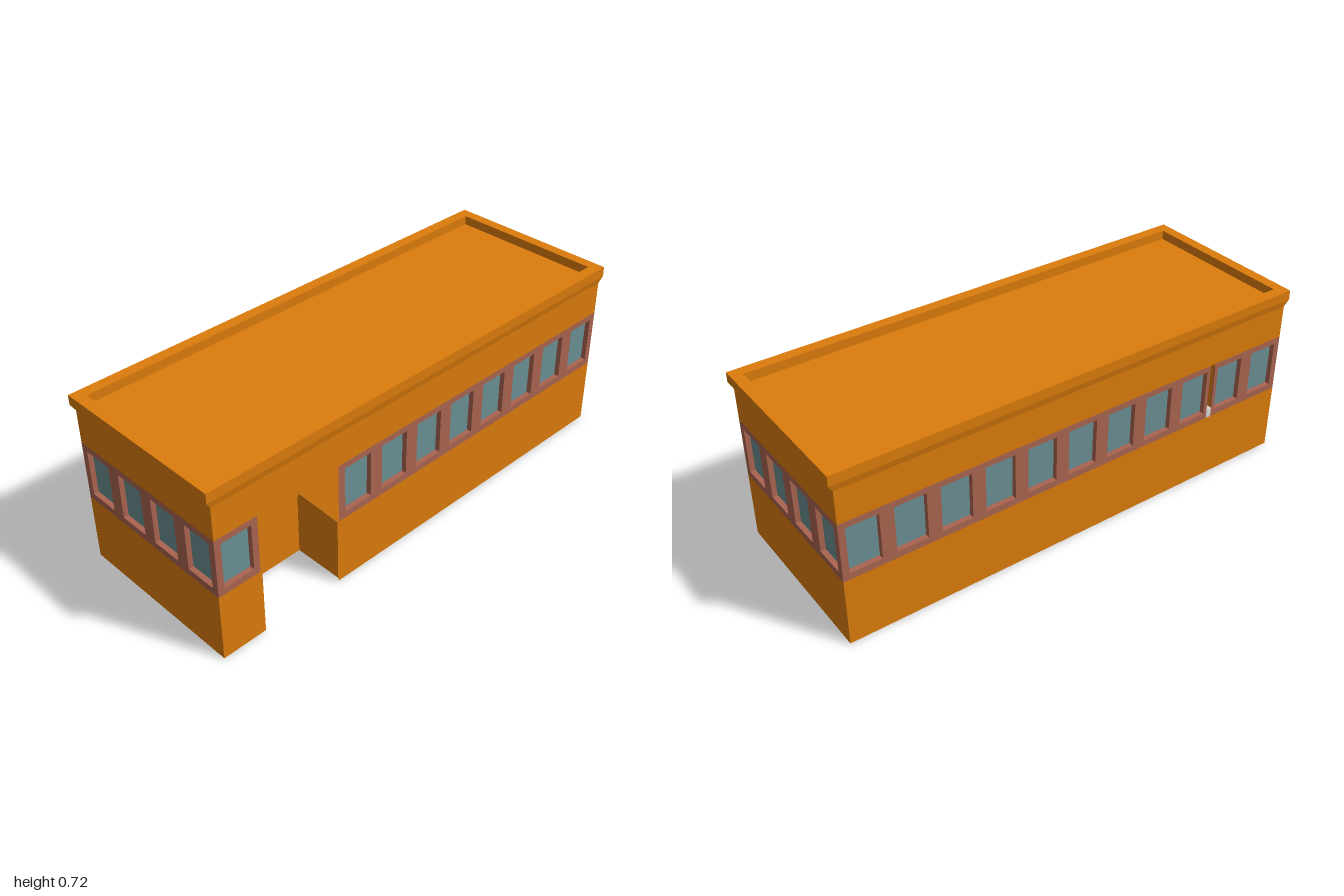
import * as THREE from 'three';

const paint = (color) => new THREE.MeshStandardMaterial({ color, side: THREE.DoubleSide });
const HX = 0.358, HZ = 0.983;            // half width and half length of the walls
const BAND0 = 0.275, BAND1 = 0.515;      // window band
const WIN0 = 0.302, WIN1 = 0.49, WIN_W = 0.124, PITCH = 0.179, REVEAL = 0.02;
const EAVE = 0.65, ROOF = 0.68, TOP = 0.717;

// Corners of a rectangle, counter-clockwise
const rect = (x0, x1, y0, y1) => [[x0, y0], [x1, y0], [x1, y1], [x0, y1]];
const toShape = (pts) => new THREE.Shape(pts.map(([x, y]) => new THREE.Vector2(x, y)));

// Flat quads between successive loops of [x, y, z] points
function loft(loops, closed = true) {
  const pos = [];
  for (let i = 0; i + 1 < loops.length; i++) {
    const a = loops[i], b = loops[i + 1], n = a.length;
    for (let j = 0; j < (closed ? n : n - 1); j++) {
      const k = (j + 1) % n;
      pos.push(...a[j], ...a[k], ...b[k], ...a[j], ...b[k], ...b[j]);
    }
  }
  const geo = new THREE.BufferGeometry();
  geo.setAttribute('position', new THREE.Float32BufferAttribute(pos, 3));
  geo.computeVertexNormals();
  return geo;
}

export function createModel() {
  const wallMat = paint(0xdc7c0c), bandMat = paint(0xaa6450), glassMat = paint(0x6b9094);
  const model = new THREE.Group();
  model.name = 'building';

  function add(parent, name, geo, mat, z = 0) {
    const mesh = new THREE.Mesh(geo, mat);
    mesh.name = name;
    mesh.position.z = z;
    parent.add(mesh);
    return mesh;
  }

  // One strip of band with recessed windows centred on the given positions
  function windowBand(parent, u0, u1, centres) {
    const shape = toShape(rect(u0, u1, BAND0, BAND1));
    for (const c of centres) {
      const r = rect(c - WIN_W / 2, c + WIN_W / 2, WIN0, WIN1);
      shape.holes.push(new THREE.Path(r.map(([x, y]) => new THREE.Vector2(x, y))));
      const at = (z) => r.map(([x, y]) => [x, y, z]).reverse();
      add(parent, 'windowReveal', loft([at(-REVEAL), at(0)]), bandMat);
      add(parent, 'windowGlass', new THREE.ShapeGeometry(toShape(r)), glassMat, -REVEAL);
    }
    add(parent, 'windowBand', new THREE.ShapeGeometry(shape), bandMat);
  }

  // A wall group whose local z points outwards
  function wall(name, angle, distance) {
    const g = new THREE.Group();
    g.name = name;
    g.rotation.y = angle;
    g.position.set(Math.sin(angle) * distance, 0, Math.cos(angle) * distance);
    model.add(g);
    return g;
  }
  const panel = (g, name, pts) => add(g, name, new THREE.ShapeGeometry(toShape(pts)), wallMat);
  const centres = (n) => Array.from({ length: n }, (_, i) => (i - (n - 1) / 2) * PITCH);

  // End walls
  for (const [name, angle] of [['frontWall', 0], ['backWall', Math.PI]]) {
    const g = wall(name, angle, HZ);
    panel(g, 'lowerWall', rect(-HX, HX, 0, BAND0));
    panel(g, 'upperWall', rect(-HX, HX, BAND1, EAVE));
    windowBand(g, -HX, HX, centres(4));
  }

  // Right-hand long wall, its band split by a narrow slit
  const c11 = centres(11);
  const plain = wall('rightWall', -Math.PI / 2, HX);
  panel(plain, 'lowerWall', rect(-HZ, HZ, 0, BAND0));
  panel(plain, 'upperWall', rect(-HZ, HZ, BAND1, EAVE));
  windowBand(plain, -HZ, 0.615, c11.slice(0, 9));
  windowBand(plain, 0.638, HZ, c11.slice(9));

  // Left-hand long wall with the gabled entrance
  const entry = wall('leftWall', Math.PI / 2, HX);
  const E0 = -0.8, E1 = -0.458, PEAK = 0.5, B0 = -0.807, B1 = -0.451;
  const mid = (E0 + E1) / 2;
  panel(entry, 'upperWall', rect(-HZ, HZ, BAND1, EAVE));
  panel(entry, 'lowerWallFront', rect(-HZ, B0, 0, BAND0));
  panel(entry, 'lowerWallBack', rect(B1, HZ, 0, BAND0));
  panel(entry, 'entranceSurround', [[B0, 0], [E0, 0], [E0, BAND0], [mid, PEAK],
    [E1, BAND0], [E1, 0], [B1, 0], [B1, BAND1], [B0, BAND1]]);
  windowBand(entry, -HZ, B0, c11.slice(0, 1));
  windowBand(entry, B1, HZ, c11.slice(3));

  // Entrance recess, open below
  const gable = [[E1, 0.015], [E1, BAND0], [mid, PEAK], [E0, BAND0], [E0, 0.015]];
  const gableAt = (z) => gable.map(([x, y]) => [x, y, z]);
  const DEPTH = 0.206;
  add(entry, 'entranceSides', loft([gableAt(0), gableAt(-DEPTH)], false), wallMat);
  add(entry, 'entranceBack', new THREE.ShapeGeometry(toShape(gable)), wallMat, -DEPTH);

  // Flared cornice, parapet and sunken roof
  const ring = (x, z, y) => [[-x, y, z], [x, y, z], [x, y, -z], [-x, y, -z]];
  add(model, 'corniceAndParapet', loft([
    ring(HX, HZ, EAVE), ring(0.364, 1, 0.677), ring(0.364, 1, TOP),
    ring(0.319, 0.956, TOP), ring(0.319, 0.956, ROOF),
  ]), wallMat);
  const roof = add(model, 'roof', new THREE.PlaneGeometry(0.638, 1.912), wallMat);
  roof.rotation.x = -Math.PI / 2;
  roof.position.y = ROOF;

  return model;
}
